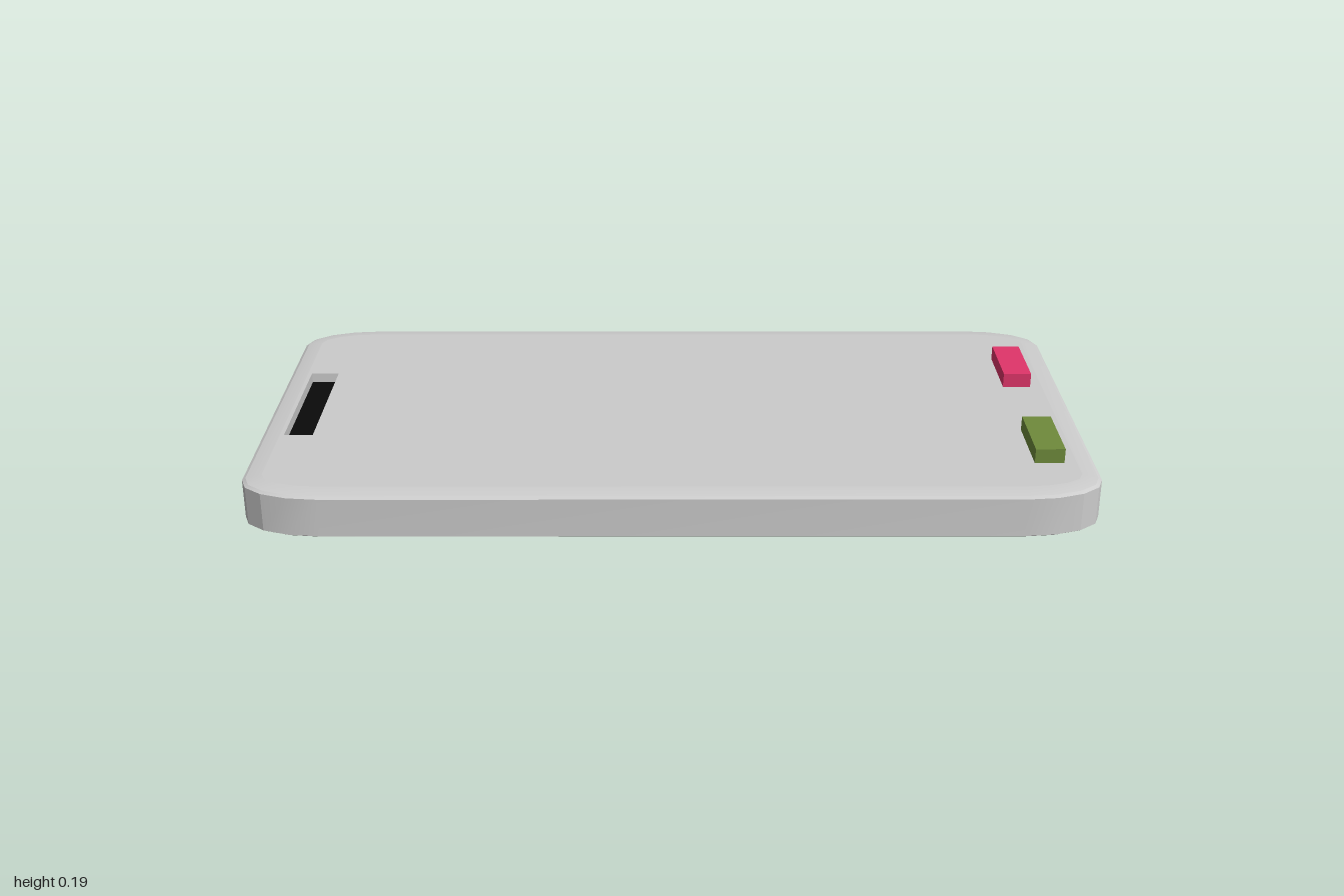
import * as THREE from 'three';
import { toCreasedNormals } from 'three/addons/utils/BufferGeometryUtils.js';

const grey = new THREE.MeshStandardMaterial({ color: 0xcccccc });
const black = new THREE.MeshStandardMaterial({ color: 0x0a0a0a });
const pink = new THREE.MeshStandardMaterial({ color: 0xe0356a });
const green = new THREE.MeshStandardMaterial({ color: 0x6f8b3c });

const HX = 1, HZ = 0.515, TOP = 0.156, BOTTOM = 0.04;
const SLOT = { x0: -0.945, x1: -0.875, z0: -0.195, z1: 0.19 };

// Rounded rectangle in plan (x, -z), with stretched corners
function outline(inset) {
  const rx = 0.19 - inset, rz = 0.1 - inset * 0.8, pts = [];
  const signs = [[1, 1], [-1, 1], [-1, -1], [1, -1]];
  signs.forEach(([sx, sy], corner) => {
    for (let i = 0; i <= 4; i++) {
      const a = (corner + i / 4) * Math.PI / 2;
      pts.push(new THREE.Vector2(
        sx * (HX - inset - rx) + rx * Math.cos(a),
        sy * (HZ - inset - rz) + rz * Math.sin(a)));
    }
  });
  return pts;
}

// Skin between successive plan outlines at given heights
function loft(rings) {
  const pos = [], index = [], n = rings[0].pts.length;
  for (const { pts, y } of rings) for (const p of pts) pos.push(p.x, y, -p.y);
  for (let r = 0; r < rings.length - 1; r++) {
    for (let j = 0; j < n; j++) {
      const k = (j + 1) % n, a = r * n + j, b = r * n + k;
      index.push(a, b, b + n, a, b + n, a + n);
    }
  }
  const geo = new THREE.BufferGeometry();
  geo.setAttribute('position', new THREE.Float32BufferAttribute(pos, 3));
  geo.setIndex(index);
  return toCreasedNormals(geo, 0.3);
}

function addMesh(group, name, geo, material) {
  const mesh = new THREE.Mesh(geo, material);
  mesh.name = name;
  group.add(mesh);
  return mesh;
}

function addBox(group, name, [x0, x1], [y0, y1], [z0, z1], material) {
  const mesh = addMesh(group, name, new THREE.BoxGeometry(x1 - x0, y1 - y0, z1 - z0), material);
  mesh.position.set((x0 + x1) / 2, (y0 + y1) / 2, (z0 + z1) / 2);
}

export function createModel() {
  const model = new THREE.Group();
  model.name = 'handset';

  // Body side wall with a shallow rounded edge above and below
  const edge = [[0, 0.011], [0.008, 0.006], [0.025, 0.002], [0.045, 0]];
  const rings = [
    ...[...edge].reverse().map(([inset, d]) => ({ pts: outline(inset), y: BOTTOM + d })),
    ...edge.map(([inset, d]) => ({ pts: outline(inset), y: TOP - d })),
  ];
  const body = new THREE.Group();
  body.name = 'body';
  model.add(body);
  addMesh(body, 'bodySides', loft(rings), grey);

  // Front panel, cut out for the speaker slot
  const slotPts = [[SLOT.x0, -SLOT.z1], [SLOT.x1, -SLOT.z1], [SLOT.x1, -SLOT.z0], [SLOT.x0, -SLOT.z0]]
    .map(([x, y]) => new THREE.Vector2(x, y));
  const panel = new THREE.Shape(outline(0.045));
  panel.holes.push(new THREE.Path(slotPts));
  addMesh(body, 'topPanel', new THREE.ShapeGeometry(panel).rotateX(-Math.PI / 2).translate(0, TOP, 0), grey);

  // Back panel
  const back = new THREE.ShapeGeometry(new THREE.Shape(outline(0.045)));
  addMesh(body, 'bottomPanel', back.rotateX(Math.PI / 2).translate(0, BOTTOM, 0), grey);

  // Recessed speaker slot: inward-facing walls and a dark insert
  addMesh(body, 'slotWalls', loft([{ pts: slotPts, y: TOP }, { pts: slotPts, y: TOP - 0.04 }]), grey);
  addBox(model, 'speakerInsert', [SLOT.x0, SLOT.x1], [TOP - 0.05, TOP - 0.025],
    [SLOT.z0, SLOT.z1], black);

  // Two raised buttons
  addBox(model, 'pinkButton', [0.855, 0.925], [0.13, 0.192], [-0.292, -0.105], pink);
  addBox(model, 'greenButton', [0.855, 0.925], [0.13, 0.192], [0.16, 0.347], green);

  // Square camera block underneath
  addBox(model, 'rearCamera', [-0.862, -0.762], [0, 0.06], [-0.05, 0.05], black);

  return model;
}
